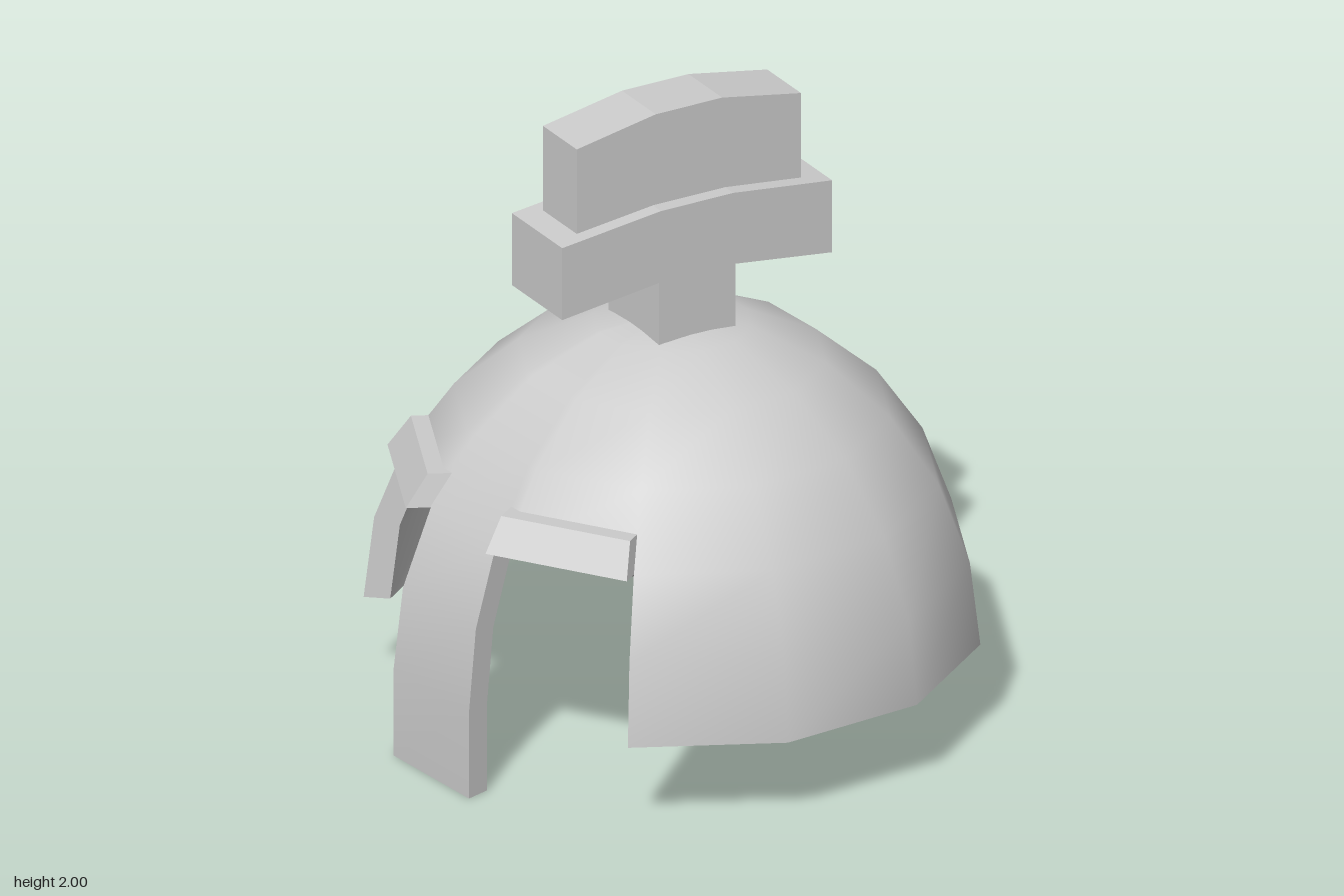
import * as THREE from 'three';
import { toCreasedNormals } from 'three/addons/utils/BufferGeometryUtils.js';
import { ConvexGeometry } from 'three/addons/geometries/ConvexGeometry.js';

const material = new THREE.MeshStandardMaterial({ color: 0xcccccc });
const RIM = 0.28;
const rad = THREE.MathUtils.degToRad;

// Horizontal position on the 12-sided outline; angle runs from -x towards -z
function outline(angle, rx, rz) {
  const at = (a) => new THREE.Vector3(-rx * Math.cos(rad(a)), 0, -rz * Math.sin(rad(a)));
  const base = Math.floor(angle / 30) * 30;
  return at(base).lerp(at(base + 30), (angle - base) / 30);
}

// Level 0 is the nose guard tip, 1 the rim, 2 to 7 climb to the crown
function shellPoint(angle, level, inner) {
  const t = inner ? 0.08 : 0;
  const lat = rad(15 * Math.max(level - 1, 0));
  const p = outline(angle, 0.9 - t, 0.94 - t).multiplyScalar(level === 7 ? 0 : Math.cos(lat));
  p.y = level === 0 ? 0 : RIM + (1.018 - t) * Math.sin(lat);
  return p;
}

// Thick dome with two eye openings and the nose guard between them
function shellGeometry() {
  const columns = [0, 3.3, 26.7, 30];
  for (let a = 60; a < 360; a += 30) columns.push(a);
  const n = columns.length;
  const solid = (c, k) => {
    c = (c + n) % n;
    if (k < 0 || k > 6) return k > 6;
    if (k === 0) return c === 1;
    return k > 2 || ![n - 1, 0, 2, 3].includes(c);
  };
  const pos = [];
  const tri = (a, b, c) => {
    if (a.distanceTo(b) < 1e-6 || b.distanceTo(c) < 1e-6 || c.distanceTo(a) < 1e-6) return;
    for (const p of [a, b, c]) pos.push(p.x, p.y, p.z);
  };
  const quad = (a, b, c, d) => { tri(a, b, c); tri(a, c, d); };
  for (let c = 0; c < n; c++) {
    for (let k = 0; k < 7; k++) {
      if (!solid(c, k)) continue;
      const a = columns[c], b = columns[(c + 1) % n];
      const corners = (inner) => [[b, k], [a, k], [a, k + 1], [b, k + 1]]
        .map(([angle, level]) => shellPoint(angle, level, inner));
      const o = corners(false), i = corners(true);
      quad(...o);
      quad(i[3], i[2], i[1], i[0]);
      // Close the thickness wherever the neighbouring cell is open
      [[c, k - 1], [c - 1, k], [c, k + 1], [c + 1, k]].forEach(([nc, nk], e) => {
        const f = (e + 1) % 4;
        if (!solid(nc, nk)) quad(o[f], o[e], i[e], i[f]);
      });
    }
  }
  const geo = new THREE.BufferGeometry();
  geo.setAttribute('position', new THREE.Float32BufferAttribute(pos, 3));
  return toCreasedNormals(geo, 0.65);
}

// Sloped ledge above an eye opening, running from the nose side outwards
function browGeometry(from, to) {
  const points = [];
  const mid = outline((from + to) / 2, 0.9, 0.94).normalize();
  for (const [y, scale] of [[0.79, 0.866], [0.89, 0.79]]) {
    const a = outline(from, 0.9, 0.94).multiplyScalar(scale);
    const b = outline(to, 0.9, 0.94).multiplyScalar(scale);
    for (const t of [-0.1, 1]) {
      for (const depth of [0.052, -0.02]) {
        const p = a.clone().lerp(b, t).addScaledVector(mid, depth);
        p.y = y;
        points.push(p);
      }
    }
  }
  return new ConvexGeometry(points);
}

// Symmetric profile given by its right half from top to bottom, extruded about z = 0
function crestGeometry(half, width) {
  const left = half.map(([x, y]) => [-x, y]).reverse();
  const shape = new THREE.Shape([...half, ...left].map(([x, y]) => new THREE.Vector2(x, y)));
  return new THREE.ExtrudeGeometry(shape, { depth: width, bevelEnabled: false })
    .translate(0, 0, -width / 2);
}

export function createModel() {
  const model = new THREE.Group();
  model.name = 'crestedHelmet';
  const add = (parent, name, geometry) => {
    const mesh = new THREE.Mesh(geometry, material);
    mesh.name = name;
    parent.add(mesh);
  };

  add(model, 'domeAndNoseGuard', shellGeometry());
  add(model, 'leftBrow', browGeometry(0, -30));
  add(model, 'rightBrow', browGeometry(30, 60));

  // Crest, turned to line up with the nose guard
  const crest = new THREE.Group();
  crest.name = 'crest';
  crest.rotation.y = -0.343;
  add(crest, 'crestHolder', crestGeometry(
    [[0.125, 1.705], [0.467, 1.665], [0.467, 1.43], [0.132, 1.472], [0.132, 1.235]], 0.29));
  add(crest, 'crestPlume', crestGeometry(
    [[0.115, 2], [0.388, 1.95], [0.388, 1.6]], 0.195));
  model.add(crest);
  return model;
}
